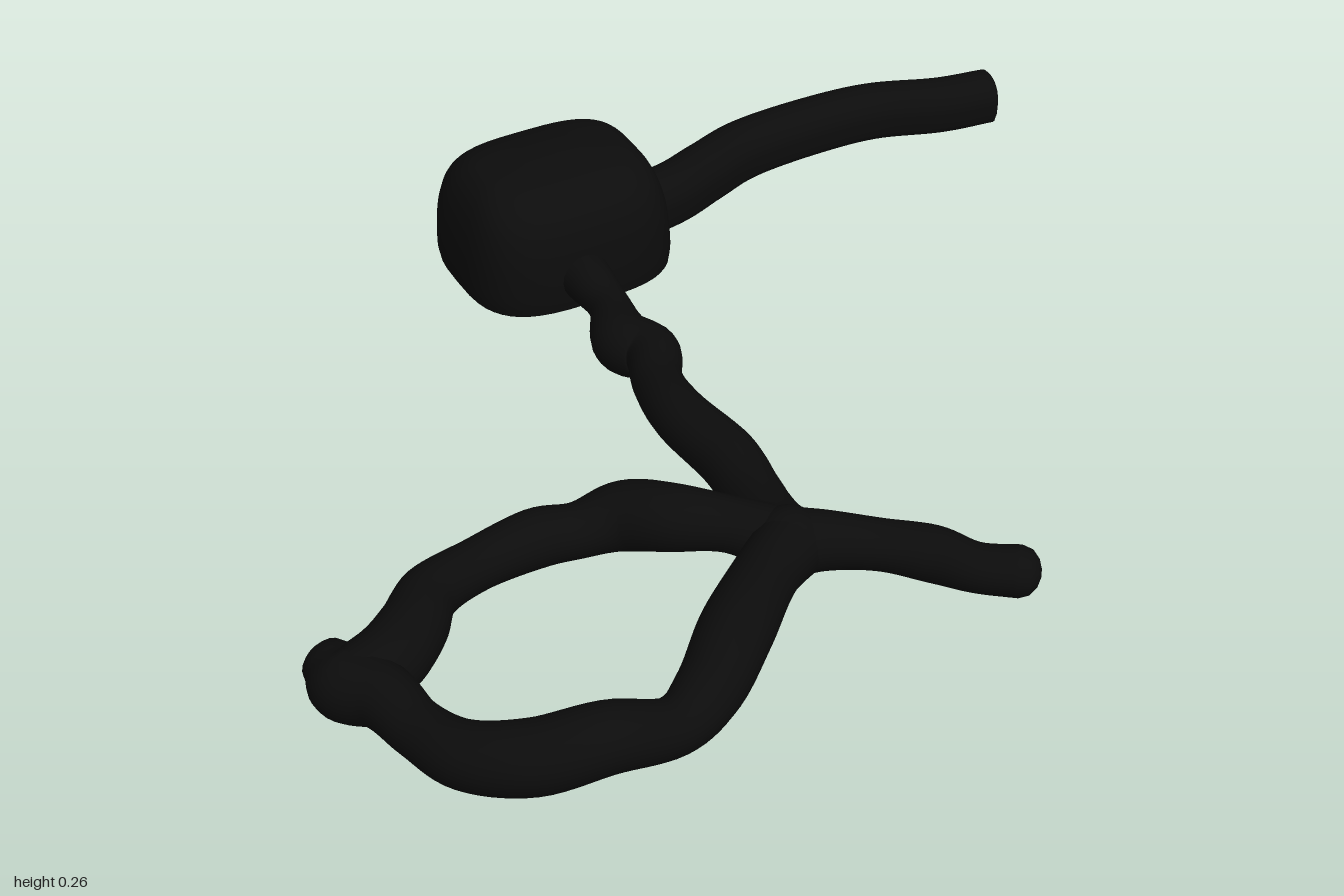
import * as THREE from 'three';

// Smooth curve through number triples
const curve = (pts) => new THREE.CatmullRomCurve3(
  pts.map((p) => new THREE.Vector3(...p)), false, 'catmullrom', 0.5);

// Skin a list of closed rings, closing both ends with a fan
function skin(rings) {
  const n = rings[0].length, pos = [], idx = [];
  rings.forEach((ring) => ring.forEach((p) => pos.push(p.x, p.y, p.z)));
  for (let i = 0; i < rings.length - 1; i++) {
    for (let j = 0; j < n; j++) {
      const k = (j + 1) % n, a = i * n, b = a + n;
      idx.push(a + j, b + j, a + k, b + j, b + k, a + k);
    }
  }
  [0, rings.length - 1].forEach((row) => {
    const c = new THREE.Vector3();
    rings[row].forEach((p) => c.addScaledVector(p, 1 / n));
    const m = pos.length / 3, o = row * n;
    pos.push(c.x, c.y, c.z);
    for (let j = 0; j < n; j++) {
      const k = (j + 1) % n;
      if (row === 0) idx.push(m, o + j, o + k);
      else idx.push(m, o + k, o + j);
    }
  });
  const g = new THREE.BufferGeometry();
  g.setAttribute('position', new THREE.Float32BufferAttribute(pos, 3));
  g.setIndex(idx);
  g.computeVertexNormals();
  return g;
}

// Tube along [x, y, z, radius] points; cap is the length of the rounded ends in radii
function limb(pts, cap = 0.8, flatBottom = false, sides = 20) {
  const path = curve(pts.map((p) => p.slice(0, 3)));
  const radius = curve(pts.map((p) => [p[3], p[3], 0]));
  const up = new THREE.Vector3(0, 1, 0), steps = (pts.length - 1) * 7, rings = [];
  const addRing = (t, scale, shift) => {
    const r = radius.getPoint(t).x, c = path.getPoint(t), d = path.getTangent(t);
    const side = d.clone().cross(up).normalize(), v = side.clone().cross(d).normalize();
    c.addScaledVector(d, shift * r);
    rings.push(Array.from({ length: sides }, (_, j) => {
      const a = (j / sides) * Math.PI * 2, s = Math.sin(a);
      let x = Math.cos(a), y = s;
      if (flatBottom && s < 0) {
        x = Math.sign(x) * Math.abs(x) ** 0.45;
        y = -(Math.abs(s) ** 0.45);
      }
      return c.clone().addScaledVector(side, x * r * scale).addScaledVector(v, y * r * scale);
    }));
  };
  const angles = [0.1, 0.35, 0.65, 1].map((f) => f * Math.PI / 2);
  angles.slice(0, 3).forEach((a) => addRing(0, Math.sin(a), -cap * Math.cos(a)));
  for (let i = 0; i <= steps; i++) addRing(i / steps, 1, 0);
  angles.slice(0, 3).reverse().forEach((a) => addRing(1, Math.sin(a), cap * Math.cos(a)));
  return skin(rings);
}

// Flat-bottomed dome with a rounded-square plan, from [y, half width, half depth]
function dome(profile, cx, cz, sides = 48) {
  const c = curve(profile), steps = (profile.length - 1) * 5;
  return skin(Array.from({ length: steps + 1 }, (_, i) => {
    const q = c.getPoint(i / steps);
    return Array.from({ length: sides }, (_, j) => {
      const a = (j / sides) * Math.PI * 2;
      const f = (v) => Math.sign(v) * Math.abs(v) ** 0.62;
      return new THREE.Vector3(cx + q.y * f(Math.cos(a)), q.x, cz + q.z * f(Math.sin(a)));
    });
  }));
}

export function createModel() {
  const model = new THREE.Group();
  const black = new THREE.MeshStandardMaterial({ color: 0x0c0c0c });
  black.name = 'black';
  const add = (name, geometry) => {
    const mesh = new THREE.Mesh(geometry, black);
    mesh.name = name;
    model.add(mesh);
    return mesh;
  };

  // Domed body
  add('body', dome([
    [0.012, 0.09, 0.08], [0.012, 0.195, 0.175], [0.03, 0.214, 0.189], [0.09, 0.215, 0.189],
    [0.15, 0.208, 0.182], [0.2, 0.193, 0.164], [0.235, 0.17, 0.128], [0.255, 0.135, 0.08],
    [0.265, 0.05, 0.025],
  ], -0.055, -0.633));

  // Smooth cable with a flat underside
  add('cable', limb([
    [0.05, 0.08, -0.62, 0.06], [0.2, 0.08, -0.637, 0.058], [0.3, 0.08, -0.672, 0.057],
    [0.42, 0.079, -0.714, 0.056], [0.58, 0.077, -0.728, 0.055], [0.73, 0.075, -0.72, 0.054],
    [0.87, 0.073, -0.675, 0.053], [0.985, 0.07, -0.66, 0.052],
  ], 0.25, true));

  // Knobbly stem from the body to the junction
  add('stem', limb([
    [-0.075, 0.08, -0.5, 0.055], [-0.075, 0.08, -0.42, 0.047], [-0.077, 0.075, -0.34, 0.041],
    [-0.1, 0.068, -0.24, 0.06], [-0.075, 0.075, -0.17, 0.054], [-0.11, 0.08, -0.08, 0.048],
    [-0.127, 0.09, 0.04, 0.053], [-0.107, 0.083, 0.18, 0.057], [-0.115, 0.08, 0.28, 0.055],
    [-0.13, 0.09, 0.38, 0.055], [-0.14, 0.1, 0.46, 0.065],
  ]));

  // Short free leg
  add('leg', limb([
    [-0.15, 0.1, 0.45, 0.065], [-0.08, 0.1, 0.48, 0.053], [0, 0.095, 0.53, 0.046],
    [0.07, 0.09, 0.59, 0.05], [0.115, 0.09, 0.655, 0.044], [0.175, 0.09, 0.7, 0.046],
  ]));

  // Front half of the loop, ending in the corner knob
  add('loopFront', limb([
    [-0.13, 0.1, 0.455, 0.065], [-0.22, 0.11, 0.52, 0.058], [-0.33, 0.115, 0.62, 0.064],
    [-0.43, 0.1, 0.71, 0.058], [-0.52, 0.095, 0.755, 0.05], [-0.64, 0.128, 0.757, 0.06],
    [-0.75, 0.11, 0.725, 0.063], [-0.835, 0.095, 0.655, 0.057], [-0.875, 0.09, 0.56, 0.049],
    [-0.895, 0.095, 0.47, 0.056], [-0.93, 0.085, 0.4, 0.066], [-0.94, 0.088, 0.355, 0.05],
  ]));

  // Back half of the loop
  add('loopBack', limb([
    [-0.92, 0.09, 0.41, 0.062], [-0.85, 0.095, 0.39, 0.064], [-0.79, 0.1, 0.345, 0.06],
    [-0.73, 0.1, 0.28, 0.052], [-0.63, 0.09, 0.24, 0.047], [-0.51, 0.085, 0.22, 0.053],
    [-0.43, 0.08, 0.23, 0.05], [-0.35, 0.095, 0.25, 0.062], [-0.29, 0.115, 0.315, 0.06],
    [-0.21, 0.115, 0.38, 0.05], [-0.14, 0.1, 0.45, 0.06],
  ]));

  // Blend where the limbs meet
  const joint = add('junction', new THREE.SphereGeometry(0.068, 24, 16));
  joint.position.set(-0.14, 0.1, 0.457);

  return model;
}
